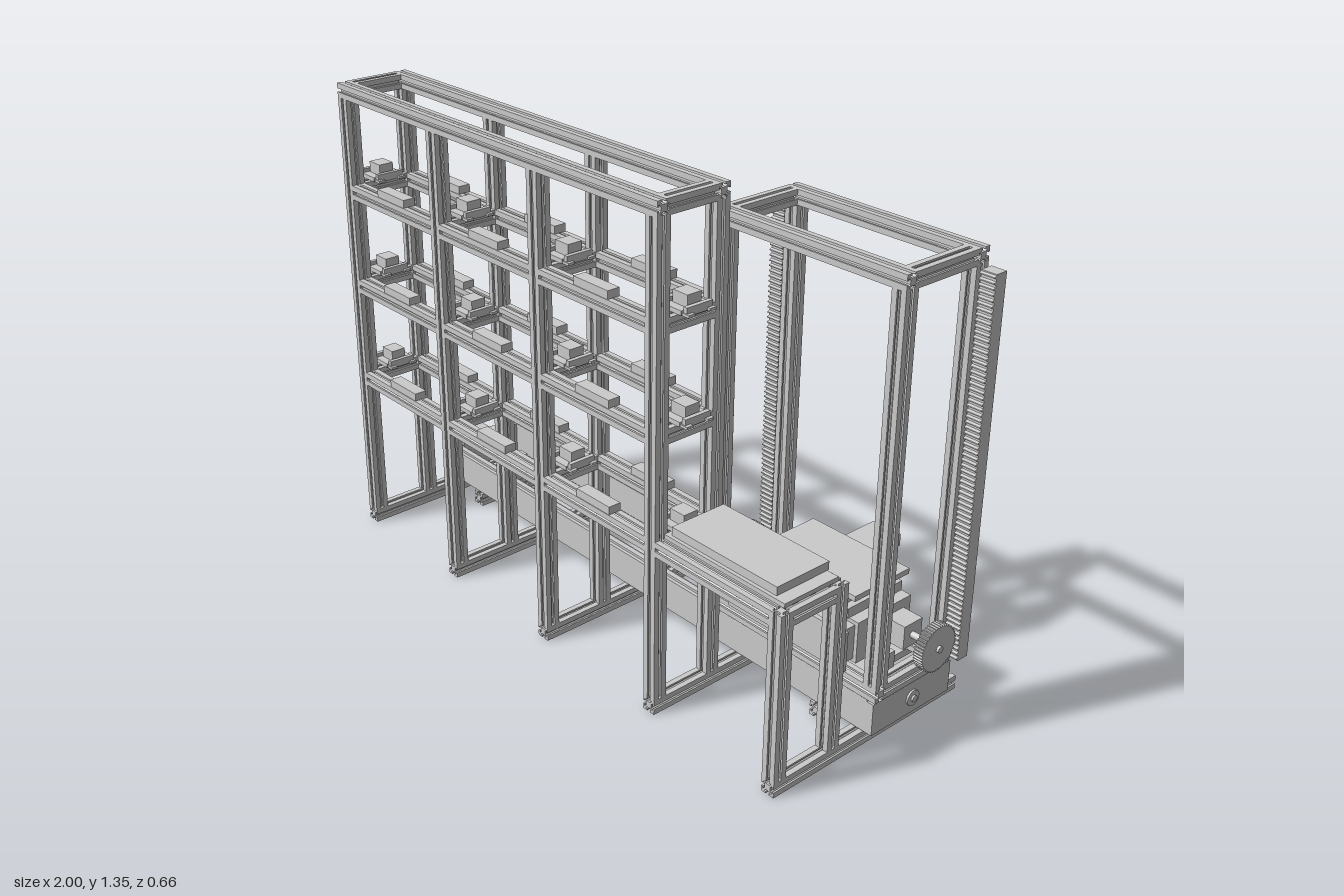
import * as THREE from 'three';

const mat = new THREE.MeshStandardMaterial({ color: 0xcccccc, flatShading: true });
const smooth = new THREE.MeshStandardMaterial({ color: 0xcccccc });

// T-slot cross-section: one side repeated by quarter turns
function slotShape() {
  const side = [[0.02, -0.02], [0.02, -0.005], [0.015, -0.005], [0.015, -0.011],
    [0.009, -0.005], [0.009, 0.005], [0.015, 0.011], [0.015, 0.005], [0.02, 0.005]];
  const pts = [];
  for (let q = 0; q < 4; q++) {
    for (const [x, y] of side) pts.push(new THREE.Vector2(x, y).rotateAround(new THREE.Vector2(), q * Math.PI / 2));
  }
  return new THREE.Shape(pts);
}
const slot = slotShape();

function add(parent, name, geo, material = mat) {
  const m = new THREE.Mesh(geo, material);
  m.name = name;
  parent.add(m);
  return m;
}

// Box given by its limits on each axis
function box(parent, name, x0, x1, y0, y1, z0, z1) {
  const m = add(parent, name, new THREE.BoxGeometry(x1 - x0, y1 - y0, z1 - z0));
  m.position.set((x0 + x1) / 2, (y0 + y1) / 2, (z0 + z1) / 2);
  return m;
}

// Slotted bar running from a start point along an axis
function bar(parent, name, axis, len, x, y, z) {
  const geo = new THREE.ExtrudeGeometry(slot, { depth: len, bevelEnabled: false });
  if (axis === 'x') geo.rotateY(Math.PI / 2);
  if (axis === 'y') geo.rotateX(-Math.PI / 2);
  add(parent, name, geo).position.set(x, y, z);
}

// Cylinder along x
function rod(parent, name, r, x0, x1, y, z) {
  const geo = new THREE.CylinderGeometry(r, r, x1 - x0, 24).rotateZ(Math.PI / 2);
  add(parent, name, geo, smooth).position.set((x0 + x1) / 2, y, z);
}

function group(parent, name) {
  const g = new THREE.Group();
  g.name = name;
  parent.add(g);
  return g;
}

function buildRack(root) {
  const rack = group(root, 'storageRack');
  const columns = [-0.82, -0.4, 0.02, 0.45];
  const depths = [0.31, 0.13];
  const levels = [0.48, 0.77, 1.05];

  for (const x of [...columns, 0.87]) bar(rack, 'floorBar', 'z', 0.66, x, 0.02, -0.33);
  for (const z of depths) {
    for (const x of columns) bar(rack, 'post', 'y', 1.275, x, 0.04, z);
    bar(rack, 'topRail', 'x', 1.31, -0.84, 1.333, z);
    for (const y of levels) {
      // Rails sit between neighbouring posts
      for (let i = 0; i < 3; i++) {
        bar(rack, 'shelfRail', 'x', columns[i + 1] - columns[i] - 0.04, columns[i] + 0.02, y, z);
        const mid = (columns[i] + columns[i + 1]) / 2;
        box(rack, 'shelfPad', mid - 0.063, mid + 0.063, y + 0.02, y + 0.042, z - 0.018, z + 0.018);
      }
    }
  }
  for (const x of [-0.82, 0.45]) bar(rack, 'topCrossRail', 'z', 0.14, x, 1.333, 0.15);

  for (const x of columns) for (const y of levels) {
    bar(rack, 'crossRail', 'z', 0.14, x, y, 0.15);
    // Pallet locator: I-shaped plate with a raised block
    const b = group(rack, 'locator');
    b.position.set(x, y + 0.02, 0.22);
    box(b, 'locatorWeb', -0.03, 0.03, 0, 0.012, -0.045, 0.045);
    box(b, 'locatorBlock', -0.025, 0.025, 0.012, 0.043, -0.022, 0.022);
    for (const s of [-1, 1]) {
      box(b, 'locatorFlange', -0.053, 0.053, 0, 0.007, s * 0.033 - 0.01, s * 0.033 + 0.01);
      box(b, 'locatorStop', s * 0.038 - 0.006, s * 0.038 + 0.006, 0, 0.022, -0.04, 0.04);
    }
  }

  // Hand-over station beside the rack
  const st = group(root, 'handoverStation');
  for (const z of depths) {
    bar(st, 'shortPost', 'y', 0.46, 0.87, 0.04, z);
    bar(st, 'stationRail', 'x', 0.38, 0.47, 0.48, z);
  }
  bar(st, 'stationCrossRail', 'z', 0.14, 0.87, 0.48, 0.15);
  box(st, 'tray', 0.485, 0.835, 0.512, 0.535, 0.12, 0.29);
  box(st, 'trayBase', 0.47, 0.87, 0.5, 0.512, 0.125, 0.3);
}

function buildTrack(root) {
  const t = group(root, 'baseTrack');
  for (const x of [-0.69, 0.74]) bar(t, 'shortFloorBar', 'z', 0.29, x, 0.02, -0.26);
  for (const z of [-0.245, 0.01]) {
    box(t, 'sideBeam', -0.84, 0.9, 0.045, 0.14, z - 0.018, z + 0.018);
    box(t, 'guideRail', -0.83, 0.89, 0.14, 0.147, z - 0.008, z + 0.008);
  }
  box(t, 'motorEndPlate', -0.87, -0.83, 0.045, 0.14, -0.263, -0.02);
  box(t, 'farEndPlate', 0.89, 0.92, 0.045, 0.135, -0.26, 0.028);
  box(t, 'motor', -1, -0.87, 0.05, 0.13, -0.16, -0.08);
  rod(t, 'leadScrew', 0.009, -0.83, 0.93, 0.09, -0.118);
  rod(t, 'screwCollar', 0.022, 0.92, 0.925, 0.09, -0.118);
  for (const x of [-0.69, 0.74]) {
    box(t, 'bearingBlock', x - 0.018, x + 0.018, 0.04, 0.12, -0.15, -0.085);
    box(t, 'bearingFoot', x - 0.018, x + 0.018, 0.04, 0.055, -0.18, -0.055);
  }
}

// Gear with triangular-topped teeth, axis along x
function gearGeometry(r, teeth, width) {
  const pts = [];
  for (let i = 0; i < teeth * 4; i++) {
    const a = i / (teeth * 4) * Math.PI * 2;
    const rr = i % 4 < 2 ? r : r - 0.004;
    pts.push(new THREE.Vector2(Math.cos(a) * rr, Math.sin(a) * rr));
  }
  const geo = new THREE.ExtrudeGeometry(new THREE.Shape(pts), { depth: width, bevelEnabled: false });
  return geo.translate(0, 0, -width / 2).rotateY(Math.PI / 2);
}

// Upright toothed strip, teeth towards +z
function toothedRack(width) {
  const s = new THREE.Shape();
  const n = 72, y0 = 0.21, pitch = 1 / n;
  s.moveTo(0.215, y0);
  s.lineTo(0.18, y0);
  for (let i = 0; i < n; i++) {
    const y = y0 + i * pitch;
    s.lineTo(0.18, y + pitch * 0.2);
    s.lineTo(0.173, y + pitch * 0.4);
    s.lineTo(0.173, y + pitch * 0.6);
    s.lineTo(0.18, y + pitch * 0.8);
  }
  s.lineTo(0.18, y0 + 1);
  s.lineTo(0.215, y0 + 1);
  const geo = new THREE.ExtrudeGeometry(s, { depth: width, bevelEnabled: false });
  return geo.translate(0, 0, -width / 2).rotateY(Math.PI / 2);
}

function buildLift(root) {
  const carriage = group(root, 'carriage');
  box(carriage, 'carriagePlate', 0.47, 0.85, 0.152, 0.172, -0.262, 0.03);
  box(carriage, 'screwNut', 0.62, 0.7, 0.075, 0.152, -0.15, -0.085);
  for (const x of [0.52, 0.8]) for (const z of [-0.24, 0.008]) {
    box(carriage, 'slideBlock', x - 0.035, x + 0.035, 0.135, 0.153, z - 0.02, z + 0.02);
  }

  const f = group(root, 'liftFrame');
  const xs = [0.39, 0.93], zs = [0.04, -0.193];
  for (const y of [0.19, 1.236]) {
    for (const z of zs) bar(f, 'frameRail', 'x', 0.58, 0.37, y, z);
    for (const x of xs) bar(f, 'frameCrossRail', 'z', 0.193, x, y, -0.173);
  }
  for (const x of xs) {
    for (const z of zs) bar(f, 'framePost', 'y', 1.006, x, 0.21, z);
    box(f, 'verticalGuide', x - 0.008, x + 0.008, 0.22, 1.21, 0.008, 0.02);
  }
  for (const x of [0.345, 0.978]) add(f, 'toothedRack', toothedRack(0.042)).position.x = x;

  const p = group(root, 'liftPlatform');
  for (const x of [0.345, 0.978]) add(p, 'driveGear', gearGeometry(0.063, 48, 0.026)).position.set(x, 0.272, -0.111);
  rod(p, 'driveAxle', 0.009, 0.328, 0.998, 0.272, -0.111);
  box(p, 'platformBody', 0.47, 0.85, 0.215, 0.33, -0.17, 0.02);
  box(p, 'frontPlate', 0.465, 0.855, 0.215, 0.325, 0.06, 0.073);
  box(p, 'bodyBridge', 0.48, 0.84, 0.225, 0.32, 0.02, 0.06);
  for (const s of [-1, 1]) {
    const c = 0.66 + s * 0.22;
    box(p, 'bearingCheek', c - 0.03, c + 0.03, 0.24, 0.305, -0.145, -0.08);
    box(p, 'guideShoe', c + s * 0.035 - 0.025, c + s * 0.035 + 0.025, 0.24, 0.285, -0.012, 0.03);
    box(p, 'forkSupport', 0.66 + s * 0.1 - 0.04, 0.66 + s * 0.1 + 0.04, 0.345, 0.382, -0.165, 0.02);
  }
  // Sliding fork on top with its rear motor
  box(p, 'forkBase', 0.5, 0.82, 0.33, 0.357, -0.17, 0.025);
  box(p, 'forkPlate', 0.515, 0.835, 0.382, 0.397, -0.175, 0.02);
  box(p, 'forkMotor', 0.615, 0.705, 0.355, 0.388, -0.295, -0.17);
}

export function createModel() {
  const root = new THREE.Group();
  root.name = 'storageAndRetrievalUnit';
  buildRack(root);
  buildTrack(root);
  buildLift(root);
  return root;
}
